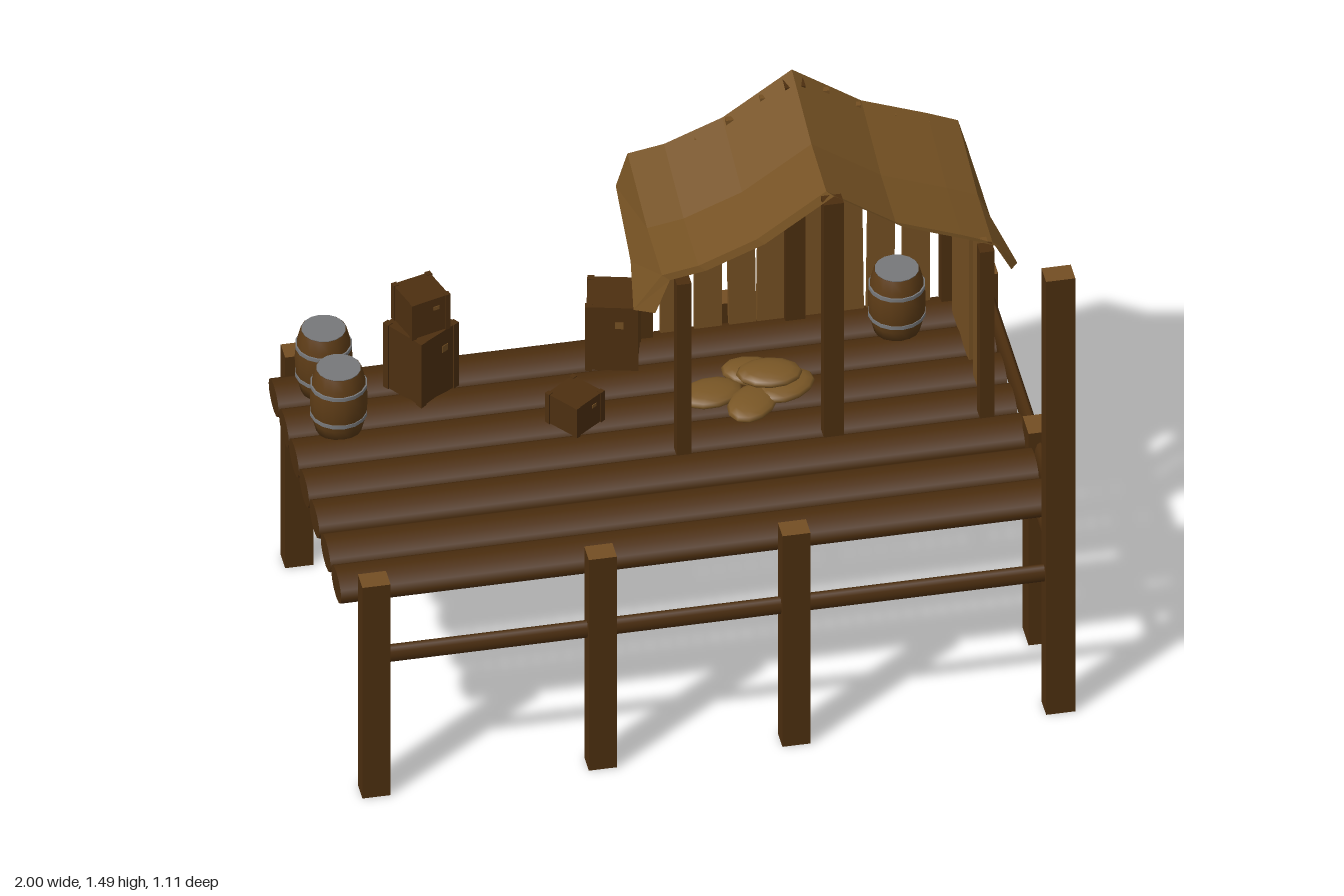
import * as THREE from 'three';

const mat = (name, color, side = THREE.FrontSide) => {
  const m = new THREE.MeshStandardMaterial({ color, side });
  m.name = name;
  return m;
};

export function createModel() {
  const root = new THREE.Group();
  root.name = 'woodenDock';
  const logWood = mat('log wood', 0x4c2e0f);
  const endGrain = mat('end grain', 0x744e23);
  const plankWood = mat('plank wood', 0x744f22);
  const canvas = mat('roof canvas', 0x765223, THREE.DoubleSide);
  const crateWood = mat('crate wood', 0x4d2f10);
  const barrelWood = mat('barrel wood', 0x5c3b16);
  const iron = mat('grey iron', 0x77787a);
  const sackCloth = mat('sack cloth', 0x7a5726);

  const group = (name, parent = root) => {
    const g = new THREE.Group();
    g.name = name;
    parent.add(g);
    return g;
  };
  const add = (parent, name, geo, material, x = 0, y = 0, z = 0, ry = 0) => {
    const m = new THREE.Mesh(geo, material);
    m.name = name;
    m.position.set(x, y, z);
    m.rotation.y = ry;
    parent.add(m);
    return m;
  };

  // Lying log: an oval cylinder along x, slightly tapered
  const logGeo = (length, halfHeight, halfDepth, taper = 1) => {
    const g = new THREE.CylinderGeometry(taper, 1, length, 12);
    g.rotateZ(-Math.PI / 2);
    g.scale(1, halfHeight, halfDepth);
    return g;
  };

  // Deck of seven logs with a beam across the right end
  const deck = group('deck');
  [-0.418, -0.28, -0.145, -0.008, 0.13, 0.283, 0.425].forEach((z, i) => {
    add(deck, 'deckLog', logGeo(1.94, 0.043, 0.068, i % 2 ? 0.95 : 0.98), logWood, -0.03, 0.637, z);
  });
  add(deck, 'endBeam', logGeo(1.0, 0.044, 0.016), logWood, 0.965, 0.636, 0, Math.PI / 2);

  // Lower rails
  const rails = group('rails');
  for (const z of [-0.522, 0.52]) add(rails, 'longRail', logGeo(1.87, 0.027, 0.017), logWood, 0.02, 0.457, z);
  add(rails, 'endRail', logGeo(1.04, 0.027, 0.017), logWood, 0.965, 0.457, 0, Math.PI / 2);

  // Square pier posts with pale sawn tops
  const posts = group('pierPosts');
  const postMats = [logWood, logWood, endGrain, logWood, logWood, logWood];
  const pierPost = (x, z, w, d, h) => add(posts, 'pierPost', new THREE.BoxGeometry(w, h, d), postMats, x, h / 2, z);
  for (const x of [-0.915, -0.295, 0.235]) pierPost(x, 0.518, 0.077, 0.062, 0.71);
  pierPost(0.958, 0.52, 0.08, 0.062, 1.46);
  pierPost(0.963, 0.2, 0.06, 0.08, 0.713);
  for (const x of [-0.915, 0.277]) pierPost(x, -0.522, 0.077, 0.06, 0.71);
  pierPost(0.963, -0.515, 0.065, 0.078, 0.71);

  // Roof profile across x, and sag and flare along z
  const profile = [
    [-0.06, 1.165], [-0.02, 1.27], [0.08, 1.287], [0.24, 1.352], [0.43, 1.485],
    [0.62, 1.352], [0.8, 1.282], [0.885, 1.245], [0.915, 1.165]];
  const rows = [[0.098, 0, 0], [-0.01, -0.064, 0.038], [-0.21, -0.054, 0.005], [-0.475, 0, -0.008]];
  const lerpTable = (table, t, dir) => {
    for (let i = 0; i < table.length - 1; i++) {
      const [a, va] = table[i], [b, vb] = table[i + 1];
      if (dir * t <= dir * b) return va + ((vb - va) * (t - a)) / (b - a);
    }
    return table[table.length - 1][1];
  };
  const roofY = (x, z) => lerpTable(profile, x, 1) + lerpTable(rows, z, -1);

  // Sagging canvas roof
  const hut = group('hut');
  const verts = [], faces = [], n = profile.length;
  rows.forEach(([z, sag, flare], j) => profile.forEach(([x, y], i) => {
    const out = i === 0 ? -flare : i === n - 1 ? flare : 0;
    verts.push(x + out, y + sag, z);
    if (i < n - 1 && j < rows.length - 1) {
      const a = j * n + i;
      faces.push(a, a + 1, a + n, a + 1, a + n + 1, a + n);
    }
  }));
  const sheet = new THREE.BufferGeometry();
  sheet.setAttribute('position', new THREE.Float32BufferAttribute(verts, 3));
  sheet.setIndex(faces);
  const roofGeo = sheet.toNonIndexed();
  roofGeo.computeVertexNormals();
  add(hut, 'canvasRoof', roofGeo, canvas);

  // Hut posts, front and back
  const floor = 0.67;
  const upright = (name, x, z, w, d, material) => {
    const h = roofY(x, z) - 0.015 - floor;
    return add(hut, name, new THREE.BoxGeometry(w, h, d), material, x, floor + h / 2, z);
  };
  for (const z of [0.073, -0.445]) {
    for (const x of [0.02, 0.43, 0.85]) upright('hutPost', x, z, x === 0.43 ? 0.055 : 0.04, 0.042, logWood);
  }

  // Plank walls at the back and the right
  [0.105, 0.195, 0.285, 0.37, 0.49, 0.58, 0.67, 0.765].forEach((x, i) => {
    upright('backPlank', x, -0.452, 0.074, 0.018, plankWood).rotation.z = (i % 3 - 1) * 0.012;
  });
  [0.025, -0.07, -0.195, -0.27, -0.348].forEach((z, i) => {
    upright('sidePlank', 0.86, z, 0.018, 0.076, plankWood).rotation.x = (i % 3 - 1) * 0.01;
  });

  // Barrels with iron hoops and lids
  const barrelR = (t) => 0.062 + 0.017 * Math.sin(Math.PI * t);
  const barrel = (x, z) => {
    const g = group('barrel');
    g.position.set(x, 0.675, z);
    const pts = [new THREE.Vector2(0, 0)];
    for (let i = 0; i <= 6; i++) pts.push(new THREE.Vector2(barrelR(i / 6), (i / 6) * 0.2));
    pts.push(new THREE.Vector2(0.058, 0.2), new THREE.Vector2(0.058, 0.193), new THREE.Vector2(0, 0.193));
    add(g, 'barrelBody', new THREE.LatheGeometry(pts, 16), barrelWood);
    add(g, 'barrelLid', new THREE.CylinderGeometry(0.06, 0.06, 0.008, 16), iron, 0, 0.198, 0);
    for (const t of [0.28, 0.74]) {
      const r = barrelR(t) + 0.003;
      add(g, 'barrelHoop', new THREE.CylinderGeometry(r, r, 0.011, 16, 1), iron, 0, t * 0.2, 0);
    }
  };
  barrel(-0.87, -0.385);
  barrel(-0.865, -0.207);
  barrel(0.69, -0.34);

  // Crates with raised corner boards and a pale patch
  const crate = (x, y, z, w, h, turn) => {
    const g = group('crate');
    g.position.set(x, y, z);
    g.rotation.y = turn;
    add(g, 'crateBody', new THREE.BoxGeometry(w, h, w), crateWood, 0, h / 2, 0);
    for (const sx of [-1, 1]) for (const sz of [-1, 1]) {
      const b = w * 0.14, o = w / 2 - b / 2 + 0.003;
      add(g, 'cornerBoard', new THREE.BoxGeometry(b, h + 0.004, b), crateWood, sx * o, h / 2, sz * o);
    }
    add(g, 'cratePatch', new THREE.BoxGeometry(w * 0.16, h * 0.1, 0.004), plankWood, w * 0.15, h * 0.72, w / 2);
  };
  crate(-0.612, 0.675, -0.345, 0.138, 0.21, 0.6);
  crate(-0.612, 0.887, -0.345, 0.112, 0.112, 0.3);
  crate(-0.238, 0.675, -0.11, 0.108, 0.095, 0.65);
  crate(-0.08, 0.675, -0.375, 0.138, 0.21, -0.25);

  // Pile of flat sacks
  const sacks = group('sackPile');
  [[0.14, 0.688, -0.14, 0.2], [0.24, 0.692, -0.07, 0.9], [0.27, 0.695, -0.2, -0.4],
    [0.34, 0.698, -0.12, 0.5], [0.3, 0.732, -0.14, -0.1]].forEach(([x, y, z, turn]) => {
    const sack = add(sacks, 'sack', new THREE.SphereGeometry(1, 12, 8), sackCloth, x, y, z, turn);
    sack.scale.set(0.09, 0.022, 0.062);
  });

  return root;
}
